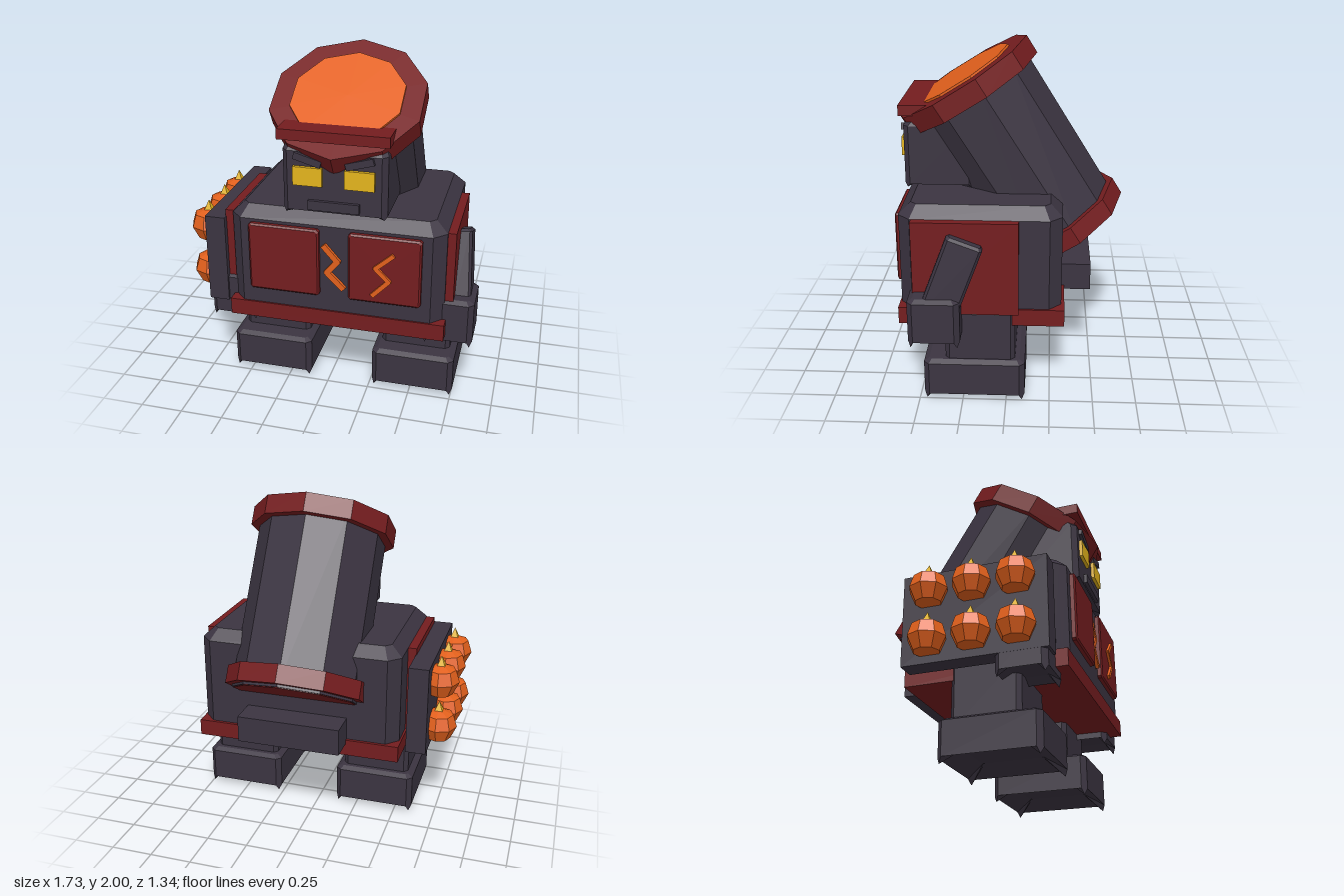
import * as THREE from 'three';

const mat = (name, color) => Object.assign(new THREE.MeshStandardMaterial({ color }), { name });

export function createModel() {
  const root = new THREE.Group();
  root.name = 'mortarRobot';
  const iron = mat('dark iron', 0x3b3441);
  const red = mat('deep red', 0x741d1f);
  const orange = mat('ember orange', 0xe2601c);
  const gold = mat('gold', 0xe4b41c);
  const MID = 0.075; // the robot's own centre line
  const SIDES = [-1, 1];

  // Faceted mesh: unshared corners give flat normals
  function add(name, geo, material, x, y, z, parent = root) {
    const g = geo.index ? geo.toNonIndexed() : geo;
    g.computeVertexNormals();
    const m = new THREE.Mesh(g, material);
    m.name = name;
    m.position.set(x, y, z);
    parent.add(m);
    return m;
  }

  // Box given by its extents
  function box(name, material, x0, x1, y0, y1, z0, z1) {
    return add(name, new THREE.BoxGeometry(x1 - x0, y1 - y0, z1 - z0), material,
      (x0 + x1) / 2, (y0 + y1) / 2, (z0 + z1) / 2);
  }

  // Stack of corner-cut rectangles, bottom to top: [y, halfX, halfZ, cut, cornerDrop]
  function loft(rings) {
    const pos = [];
    const pts = rings.map(([y, hx, hz, c, drop = 0]) => {
      const corner = [[hx, hz - c, 0], [hx - c * 0.5, hz - c * 0.5, drop], [hx - c, hz, 0]];
      const out = [];
      [[1, 1], [-1, 1], [-1, -1], [1, -1]].forEach(([sx, sz], q) => {
        const list = q % 2 ? [...corner].reverse() : corner;
        list.forEach(([x, z, d]) => out.push([x * sx, y - d, z * sz]));
      });
      return out;
    });
    const n = 12;
    for (let r = 0; r < pts.length - 1; r++) {
      for (let i = 0; i < n; i++) {
        const j = (i + 1) % n;
        const a = pts[r][i], b = pts[r][j], c = pts[r + 1][j], d = pts[r + 1][i];
        pos.push(...a, ...d, ...b, ...b, ...d, ...c);
      }
    }
    const last = pts.length - 1;
    for (let i = 0; i < n; i++) {
      const j = (i + 1) % n;
      pos.push(0, rings[0][0], 0, ...pts[0][i], ...pts[0][j]);
      pos.push(0, rings[last][0], 0, ...pts[last][j], ...pts[last][i]);
    }
    const g = new THREE.BufferGeometry();
    g.setAttribute('position', new THREE.Float32BufferAttribute(pos, 3));
    return g;
  }

  // Block with a bevelled top, funnelled underside and pointed lower corners
  function cuff(name, x, z, hx, hz, y0, y1, c, depth) {
    return add(name, loft([
      [y0 + depth, hx * 0.62, hz * 0.62, c * 0.5],
      [y0, hx, hz, c, 0.035],
      [y1 - c * 0.6, hx, hz, c],
      [y1, hx - c, hz - c, c * 0.5],
    ]), iron, x, 0, z);
  }

  // Torso and belt
  add('torso', loft([
    [0.52, 0.623, 0.455, 0.07], [1.105, 0.623, 0.455, 0.07], [1.17, 0.555, 0.388, 0.035],
  ]), iron, MID, 0, 0.145);
  box('belt', red, -0.56, 0.71, 0.472, 0.572, -0.328, 0.61);
  box('rearBlock', iron, -0.24, 0.39, 0.548, 0.71, -0.483, -0.28);

  // Armour panels on chest (bevelled) and flanks
  for (const s of SIDES) {
    const panel = add('chestPanel', loft([
      [0, 0.207, 0.206, 0.012], [0.042, 0.207, 0.206, 0.012], [0.05, 0.197, 0.196, 0.01],
    ]), red, MID + s * 0.292, 0.881, 0.58);
    panel.rotation.x = Math.PI / 2;
  }
  box('flankPanelRight', red, -0.6, -0.5, 0.555, 1.105, -0.07, 0.52);
  box('flankPanelLeft', red, 0.65, 0.745, 0.555, 1.105, -0.07, 0.52);

  // Glowing cracks: short bars joined in a zigzag
  function crack(name, points, width, z) {
    const group = new THREE.Group();
    group.name = name;
    for (let i = 0; i < points.length - 1; i++) {
      const [x0, y0] = points[i], [x1, y1] = points[i + 1];
      const len = Math.hypot(x1 - x0, y1 - y0) + width * 0.6;
      const bar = add('crackBar', new THREE.BoxGeometry(len, width, 0.03), orange,
        (x0 + x1) / 2, (y0 + y1) / 2, z, group);
      bar.rotation.z = Math.atan2(y1 - y0, x1 - x0);
    }
    root.add(group);
  }
  crack('crackMiddle', [[0.02, 0.985], [0.095, 0.9], [0.035, 0.825], [0.125, 0.735]], 0.034, 0.605);
  crack('crackLeft', [[0.415, 0.985], [0.32, 0.9], [0.395, 0.825], [0.305, 0.73]], 0.026, 0.63);

  // Legs, feet and hands
  for (const s of SIDES) {
    add('shin', loft([[0.2, 0.207, 0.2, 0.025], [0.54, 0.207, 0.2, 0.025], [0.555, 0.19, 0.185, 0.02]]),
      iron, MID + s * 0.437, 0, 0.15);
    cuff('foot', MID + s * 0.437, 0.183, 0.246, 0.29, 0.04, 0.255, 0.03, 0.06);
    cuff('hand', MID + s * 0.645, 0.395, 0.144, 0.145, 0.435, 0.69, 0.03, 0.03);
  }
  const arm = add('armLeft', loft([
    [-0.23, 0.06, 0.105, 0.015], [0.22, 0.06, 0.105, 0.015], [0.235, 0.045, 0.09, 0.01],
  ]), iron, 0.765, 0.79, 0.302);
  arm.rotation.set(-0.36, 0, 0.07);

  // Bomb rack on the right flank
  box('bombRack', iron, -0.715, -0.595, 0.525, 1.065, -0.28, 0.555);
  const bombProfile = [[0, -0.09], [0.075, -0.09], [0.112, -0.01], [0.088, 0.065], [0.03, 0.087], [0, 0.087]]
    .map(([r, y]) => new THREE.Vector2(r, y));
  for (const y of [0.95, 0.66]) {
    for (const z of [-0.11, 0.14, 0.39]) {
      add('bomb', new THREE.LatheGeometry(bombProfile, 8), orange, -0.757, y, z);
      const spike = add('bombSpike', new THREE.ConeGeometry(0.046, 0.085, 4), gold, -0.757, y + 0.104, z);
      spike.rotation.y = Math.PI / 4;
    }
  }

  // Head with eyes, lids, mouth and brow
  add('head', loft([
    [1.19, 0.295, 0.2, 0.03, 0.02], [1.535, 0.295, 0.2, 0.03], [1.575, 0.28, 0.165, 0.03],
  ]), iron, MID, 0, 0.4);
  for (const s of SIDES) {
    const x = MID + s * 0.146;
    box('eye', gold, x - 0.083, x + 0.083, 1.345, 1.452, 0.59, 0.62);
    const lid = add('eyelid', new THREE.BoxGeometry(0.16, 0.04, 0.05), iron, x, 1.494, 0.595);
    lid.rotation.z = s * 0.28;
  }
  box('mouth', iron, -0.07, 0.22, 1.205, 1.26, 0.58, 0.62);
  box('brow', red, -0.24, 0.385, 1.6, 1.66, 0.42, 0.62);

  // Ten-sided mortar barrel, leaning forward; its origin is the muzzle centre
  const mortar = new THREE.Group();
  mortar.name = 'mortar';
  mortar.position.set(MID, 1.765, 0.29);
  mortar.rotation.x = 0.557;
  root.add(mortar);
  const drum = (name, material, r, top, bottom) =>
    add(name, new THREE.CylinderGeometry(r, r, top - bottom, 10), material, 0, (top + bottom) / 2, 0, mortar);
  drum('barrel', iron, 0.394, -0.05, -1.13);
  drum('muzzleRim', red, 0.447, 0, -0.117);
  drum('muzzleGlow', orange, 0.328, 0.013, -0.03);
  drum('breechRim', red, 0.437, -1.005, -1.115);
  drum('breechCap', red, 0.385, -1.1, -1.134);

  return root;
}
